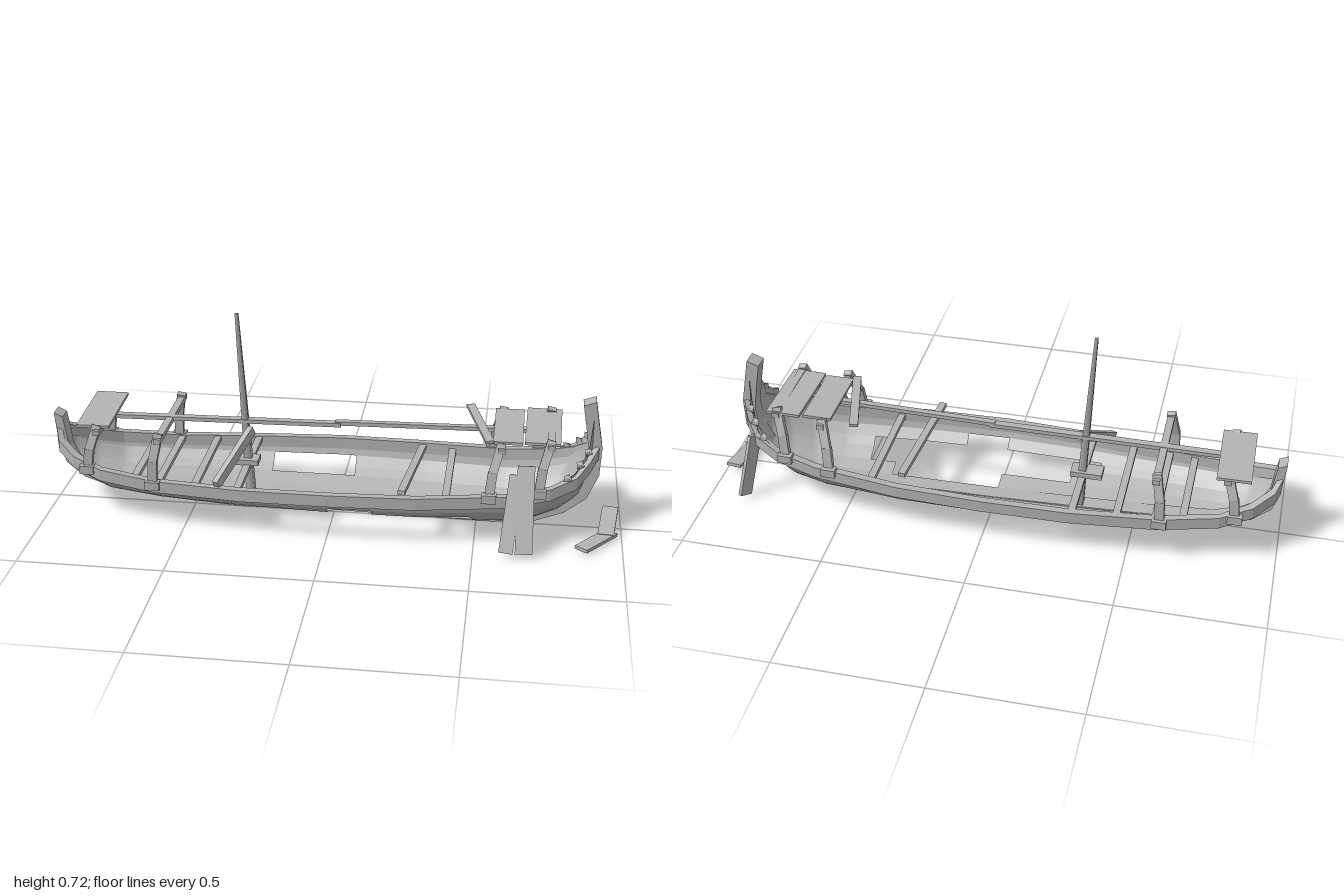
import * as THREE from 'three';

const CZ = -0.025; // centre line of the boat

export function createModel() {
  const model = new THREE.Group();
  const wood = new THREE.MeshStandardMaterial({ color: 0xb4b4b4, side: THREE.DoubleSide });
  wood.name = 'weathered grey wood';
  const V = (x, y, z) => new THREE.Vector3(x, y, z);

  const add = (name, geometry) => {
    const mesh = new THREE.Mesh(geometry, wood);
    mesh.name = name;
    model.add(mesh);
    return mesh;
  };

  // Straight timber from a to b; h is vertical (or along x for upright timbers)
  const beam = (name, a, b, w, h) => {
    const d = b.clone().sub(a);
    const mesh = add(name, new THREE.BoxGeometry(w, h, d.length()));
    mesh.position.copy(a).add(b).multiplyScalar(0.5);
    if (Math.abs(d.y) > 0.6 * Math.hypot(d.x, d.z)) mesh.up.set(1, 0, 0);
    mesh.lookAt(b);
    return mesh;
  };

  // Skin between rows of points; keep(i, j) may leave cells out
  const loft = (rows, keep = () => true) => {
    const n = rows[0].length, pos = [], index = [];
    rows.forEach(r => r.forEach(p => pos.push(p.x, p.y, p.z)));
    for (let i = 0; i < rows.length - 1; i++)
      for (let j = 0; j < n - 1; j++) {
        if (!keep(i, j)) continue;
        const a = i * n + j, b = a + n;
        index.push(a, b, a + 1, a + 1, b, b + 1);
      }
    const g = new THREE.BufferGeometry();
    g.setAttribute('position', new THREE.Float32BufferAttribute(pos, 3));
    g.setIndex(index);
    g.computeVertexNormals();
    return g;
  };

  // Hull stations: sheer x, sheer y, half width, keel x, keel y
  const stations = [
    [-0.985, 0.26, 0.02, -0.975, 0.19], [-0.965, 0.235, 0.07, -0.94, 0.13],
    [-0.9, 0.2, 0.12, -0.87, 0.08], [-0.8, 0.175, 0.165, -0.78, 0.05],
    [-0.6, 0.16, 0.2, -0.6, 0.038], [-0.3, 0.16, 0.23, -0.3, 0.025],
    [0, 0.165, 0.24, 0, 0.018], [0.3, 0.167, 0.23, 0.3, 0.012],
    [0.6, 0.177, 0.195, 0.58, 0.012], [0.75, 0.2, 0.165, 0.68, 0.02],
    [0.83, 0.25, 0.125, 0.77, 0.05], [0.87, 0.31, 0.075, 0.84, 0.1],
    [0.885, 0.42, 0.02, 0.895, 0.2]];
  const fine = [];
  for (let i = 0; i < stations.length - 1; i++)
    for (let k = 0; k < 6; k++)
      fine.push(stations[i].map((v, c) => THREE.MathUtils.lerp(v, stations[i + 1][c], k / 6)));
  fine.push(stations[stations.length - 1]);

  // Strakes across the section: width fraction, height fraction
  const section = [[0, 0], [0.12, 0.03], [0.4, 0.13], [0.65, 0.28], [0.78, 0.42], [0.92, 0.62], [1, 1]];
  // Missing planks: side, strake, from x, to x
  const gaps = [
    [-1, 3, -0.275, 0.05], [-1, 4, -0.275, 0.05],
    [1, 1, 0, 0.4], [1, 2, -0.26, 0.5], [1, 3, -0.34, 0.5], [1, 4, 0, 0.16]];
  for (const side of [1, -1])
    for (let s = 0; s < section.length - 1; s++) {
      const rows = fine.map(([xt, yt, w, xb, yb]) => [section[s], section[s + 1]].map(([fw, fh]) =>
        V(xb + (xt - xb) * fh, yb + (yt - yb) * fh, CZ + side * w * fw)));
      if (side < 0) rows.forEach(r => r.reverse());
      add('hullStrake', loft(rows, i => {
        const x = (rows[i][0].x + rows[i + 1][0].x) / 2;
        return !gaps.some(([gs, gb, x0, x1]) => gs === side && gb === s && x > x0 && x < x1);
      }));
    }

  // Gunwale rails following the sheer, dipping below the bow bulwark
  const railPath = stations.slice(0, 10).map(([x, y, w]) => [x, y, w])
    .concat([[0.83, 0.23, 0.128], [0.872, 0.27, 0.08], [0.9, 0.3, 0.027]]);
  for (const side of [1, -1]) {
    const rows = railPath.map(([x, y, w]) =>
      [[-0.014, 0.008], [0.012, 0.008], [0.012, -0.034], [-0.014, -0.034], [-0.014, 0.008]]
        .map(([o, dy]) => V(x + Math.sign(x) * (Math.abs(x) > 0.82 ? o * 0.5 : 0), y + dy, CZ + side * Math.max(w + o, 0.008))));
    if (side < 0) rows.forEach(r => r.reverse());
    const g = loft(rows).toNonIndexed();
    g.computeVertexNormals();
    add('gunwaleRail', g);
  }

  // Keel with stem and stern posts in one profile
  const profile = [
    [0.845, 0.455], [0.887, 0.47], [0.917, 0.3], [0.913, 0.2], [0.875, 0.11], [0.8, 0.05], [0.7, 0.012],
    [0.55, 0], [0, 0.008], [-0.5, 0.026], [-0.78, 0.04], [-0.9, 0.08], [-0.965, 0.135], [-0.988, 0.2], [-1, 0.325],
    [-0.97, 0.31], [-0.96, 0.25], [-0.953, 0.19], [-0.92, 0.125], [-0.86, 0.09], [-0.77, 0.06], [-0.5, 0.042],
    [0, 0.025], [0.55, 0.02], [0.68, 0.03], [0.77, 0.065], [0.83, 0.12], [0.868, 0.2], [0.873, 0.28], [0.858, 0.38]];
  const keel = new THREE.ExtrudeGeometry(
    new THREE.Shape(profile.map(([x, y]) => new THREE.Vector2(x, y))), { depth: 0.056, bevelEnabled: false });
  keel.translate(0, 0, CZ - 0.028);
  add('keelAndPosts', keel);

  // Pyramid studs on the bow
  for (const side of [1, -1])
    for (const [x, y, z] of [[0.81, 0.232, 0.142], [0.85, 0.27, 0.108], [0.876, 0.305, 0.078]]) {
      const stud = add('bowStud', new THREE.ConeGeometry(0.018, 0.025, 4));
      stud.position.set(x, y, CZ + side * z);
      stud.quaternion.setFromUnitVectors(V(0, 1, 0), V(0.65, 0.1, side * 0.75).normalize());
    }

  // Thwarts across the hull: x, half length
  for (const [x, w] of [[-0.68, 0.19], [-0.59, 0.2], [-0.46, 0.21], [-0.31, 0.23], [0.4, 0.215]])
    beam('thwart', V(x, 0.157, CZ - w), V(x, 0.157, CZ + w), 0.025, 0.016);
  beam('looseThwart', V(0.295, 0.18, -0.2), V(0.255, 0.2, 0.225), 0.025, 0.016);

  // Canopy frames: foot x, foot y, foot half width, head x, head y, head half width
  const frames = [
    [-0.85, 0.17, 0.15, -0.815, 0.33, 0.125], [-0.605, 0.15, 0.205, -0.585, 0.335, 0.18],
    [0.545, 0.175, 0.205, 0.58, 0.355, 0.15], [0.71, 0.19, 0.18, 0.745, 0.37, 0.135]];
  for (const [x0, y0, w0, x1, y1, w1] of frames) {
    const xm = (x0 + x1) / 2 - 0.008, ym = (y0 + y1) / 2, wm = (w0 + w1) / 2 + 0.012;
    for (const side of [1, -1]) {
      beam('framePostLower', V(x0, y0, CZ + side * w0), V(xm, ym, CZ + side * wm), 0.02, 0.032);
      beam('framePostUpper', V(xm, ym - 0.004, CZ + side * wm), V(x1, y1, CZ + side * w1), 0.02, 0.03);
      beam('postFoot', V(x0 - 0.025, y0 + 0.006, CZ + side * (w0 + 0.008)),
        V(x0 + 0.025, y0 + 0.006, CZ + side * (w0 + 0.008)), 0.03, 0.03);
    }
    beam('frameCrossbar', V(x1, y1 - 0.02, CZ - w1 - 0.025), V(x1, y1 - 0.02, CZ + w1 + 0.025), 0.025, 0.018);
  }

  // Ridge pole in two lengths
  beam('ridgePole', V(-0.86, 0.316, CZ), V(0.02, 0.325, CZ - 0.006), 0.026, 0.014);
  beam('ridgePole', V(0, 0.33, CZ - 0.008), V(0.7, 0.342, CZ - 0.005), 0.022, 0.014);

  // Remaining canopy boards
  beam('sternBoard', V(-0.835, 0.332, -0.185), V(-0.83, 0.325, 0.105), 0.115, 0.01);
  beam('bowBoard', V(0.6, 0.352, -0.17), V(0.6, 0.345, 0.1), 0.1, 0.01);
  beam('bowBoard', V(0.72, 0.356, -0.18), V(0.715, 0.35, 0.105), 0.12, 0.01);
  beam('looseBoard', V(0.46, 0.355, -0.19), V(0.54, 0.35, 0.11), 0.03, 0.01);

  // Broken mast with its step and fallen brace
  const mast = add('mast', new THREE.CylinderGeometry(0.008, 0.022, 0.69, 4).rotateY(Math.PI / 4));
  mast.position.set(-0.32, 0.372, CZ - 0.003);
  mast.rotation.z = 0.055;
  beam('mastStep', V(-0.38, 0.172, CZ), V(-0.27, 0.172, CZ), 0.06, 0.02);
  beam('mastBrace', V(-0.29, 0.3, 0), V(-0.38, 0.175, 0.2), 0.02, 0.035);

  // Planks leaning against the hull
  beam('leaningPlank', V(0.635, 0.255, 0.15), V(0.61, 0.015, 0.258), 0.016, 0.048);
  beam('leaningPlank', V(0.665, 0.285, 0.14), V(0.67, 0.015, 0.258), 0.016, 0.058);
  const far = beam('leaningPlank', V(0.84, 0.235, -0.157), V(0.875, 0.012, -0.218), 0.05, 0.014);
  far.rotateZ(0.5);

  // Broken boards on the ground beyond the bow
  beam('groundBoard', V(0.965, 0.034, -0.09), V(0.945, 0.016, 0.09), 0.055, 0.012);
  beam('groundBoard', V(0.965, 0.014, 0.06), V(0.86, 0.014, 0.195), 0.05, 0.012);
  return model;
}
